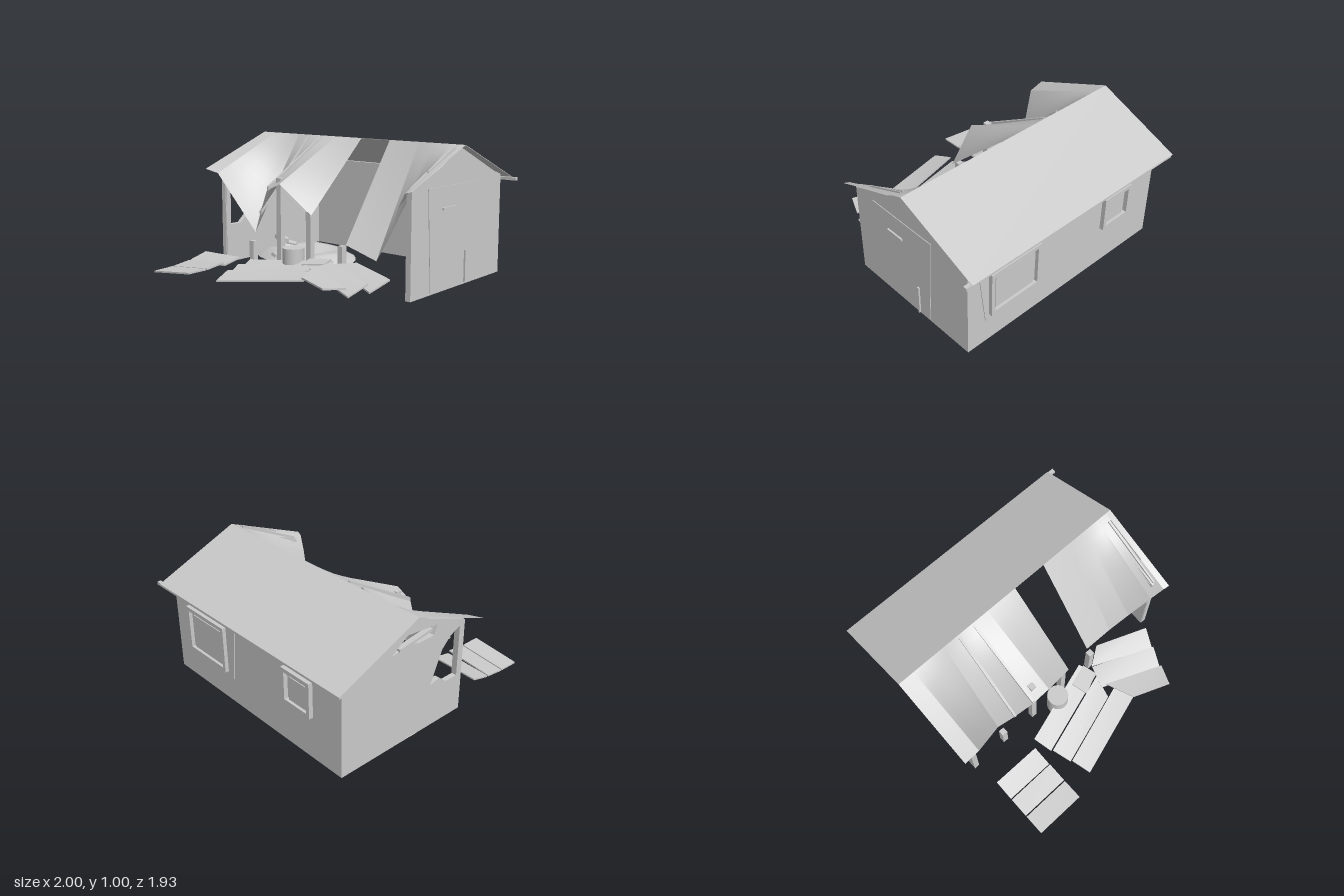
import * as THREE from 'three';

const grey = new THREE.MeshStandardMaterial({ color: 0xcacaca, side: THREE.DoubleSide });
grey.name = 'weathered grey';

export function createModel() {
  const house = new THREE.Group();
  house.name = 'ruinedHouse';

  function add(name, geometry, x = 0, y = 0, z = 0) {
    const mesh = new THREE.Mesh(geometry, grey);
    mesh.name = name;
    mesh.position.set(x, y, z);
    house.add(mesh);
    return mesh;
  }
  // Box given by its limits
  function box(name, x0, x1, y0, y1, z0, z1) {
    return add(name, new THREE.BoxGeometry(x1 - x0, y1 - y0, z1 - z0), (x0 + x1) / 2, (y0 + y1) / 2, (z0 + z1) / 2);
  }
  // Board through four corners: back left, back right, front right, front left
  function slab(name, corners, thick) {
    const [a, b, c, d] = corners.map((p) => new THREE.Vector3(...p));
    const g = new THREE.BoxGeometry(1, 1, 1);
    const pos = g.attributes.position;
    for (let i = 0; i < pos.count; i++) {
      const u = pos.getX(i) + 0.5, v = pos.getZ(i) + 0.5, h = pos.getY(i) * thick;
      const p = a.clone().lerp(b, u).lerp(d.clone().lerp(c, u), v);
      pos.setXYZ(i, p.x, p.y + h, p.z);
    }
    g.computeVertexNormals();
    return add(name, g);
  }
  const polygon = (Type, pts) => new Type(pts.map((p) => new THREE.Vector2(...p)));

  // Gable walls, profile in (z, y)
  const gable = [[0.26, 0], [0.26, 0.73], [0.19, 0.76], [-0.1, 0.87], [-0.3, 0.99], [-0.78, 0.775], [-0.86, 0.75], [-0.86, 0]];
  function sideWall(name, x, holes) {
    const shape = polygon(THREE.Shape, gable);
    holes.forEach((h) => shape.holes.push(polygon(THREE.Path, h)));
    const g = new THREE.ExtrudeGeometry(shape, { depth: 0.04, bevelEnabled: false });
    add(name, g.rotateY(-Math.PI / 2), x, 0, 0);
  }
  sideWall('rightGableWall', -0.87, [
    [[-0.06, 0.34], [0.03, 0.36], [0.1, 0.3], [0.215, 0.3], [0.215, 0.7], [0.12, 0.66], [0.04, 0.58]],
    [[-0.45, 0.73], [-0.28, 0.76], [-0.2, 0.73], [-0.05, 0.73], [-0.02, 0.8], [-0.2, 0.82], [-0.3, 0.83]],
  ]);
  sideWall('leftGableWall', 0.91, []);
  slab('brokenWallBoard', [[-0.92, 0.75, -0.38], [-0.88, 0.75, -0.38], [-0.88, 0.79, -0.08], [-0.92, 0.79, -0.08]], 0.02);
  box('backWall', -0.91, 0.91, 0, 0.745, -0.872, -0.84);

  // Door panel, handle and strap
  const door = new THREE.ExtrudeGeometry(
    polygon(THREE.Shape, [[0.075, 0.73], [-0.535, 0.73], [-0.49, 0.015], [0.035, 0.015]]), { depth: 0.008, bevelEnabled: false });
  add('doorPanel', door.rotateY(-Math.PI / 2), 0.915, 0, 0);
  box('doorRail', 0.91, 0.928, 0.57, 0.587, -0.24, -0.09);
  box('doorBatten', 0.91, 0.928, 0.015, 0.25, -0.395, -0.38);

  // Back windows: frame, shutter and wall panel
  function windowFrame(x0, x1, y0, y1) {
    const w = 0.03;
    box('windowFrameSide', x0, x0 + w, y0, y1, -0.905, -0.87);
    box('windowFrameSide', x1 - w, x1, y0, y1, -0.905, -0.87);
    box('windowFrameTop', x0 + w, x1 - w, y1 - w, y1, -0.905, -0.87);
    box('windowFrameBottom', x0 + w, x1 - w, y0, y0 + w, -0.905, -0.87);
    box('windowShutter', x0 + w + 0.025, x1 - w - 0.025, y0 + w, y1 - w - 0.03, -0.884, -0.87);
  }
  windowFrame(0.28, 0.73, 0.24, 0.6);
  windowFrame(-0.64, -0.36, 0.33, 0.6);
  const panel = new THREE.ExtrudeGeometry(
    polygon(THREE.Shape, [[0.83, 0.74], [0.16, 0.74], [0.22, 0.2], [0.76, 0.2]]), { depth: 0.008, bevelEnabled: false });
  add('windowWallPanel', panel, 0, 0, -0.877);

  // Intact back roof and its eave beam
  slab('backRoof', [[-1, 0.715, -0.97], [0.955, 0.715, -0.97], [0.955, 0.998, -0.305], [-1, 0.998, -0.305]], 0.004);
  box('eaveBeam', -0.99, 1, 0.695, 0.718, -0.965, -0.935);

  // Collapsed front roof: ruled pleats from the ridge down to a broken edge (x, y, z)
  function pleats(name, edge) {
    for (let i = 0; i + 1 < edge.length; i++) {
      const [p, q] = [edge[i], edge[i + 1]].map((e) => new THREE.Vector3(...e));
      const g = new THREE.PlaneGeometry(1, 1, 6, 8);
      const pos = g.attributes.position;
      for (let k = 0; k < pos.count; k++) {
        const low = p.clone().lerp(q, pos.getX(k) + 0.5);
        const v = new THREE.Vector3(low.x, 1, -0.305).lerp(low, 0.5 - pos.getY(k));
        pos.setXYZ(k, v.x, v.y, v.z);
      }
      g.computeVertexNormals();
      add(name, g);
    }
  }
  pleats('frontRoofRight', [[-1, 0.745, 0.345], [-0.87, 0.72, 0.335], [-0.605, 0.27, 0.195], [-0.48, 0.45, 0.26],
    [-0.355, 0.63, 0.315], [-0.215, 0.69, 0.325], [0.04, 0.48, 0.265]]);
  pleats('frontRoofLeft', [[0.305, 0.29, 0.195], [0.565, 0.21, 0.18], [0.7, 0.38, 0.23], [0.83, 0.62, 0.3],
    [0.91, 0.73, 0.335], [0.955, 0.74, 0.345]]);

  // Exposed rafters
  const rafter = (x, y0, z0, y1, z1, w) =>
    slab('rafter', [[x - w, y0, z0], [x + w, y0, z0], [x + w, y1, z1], [x - w, y1, z1]], 0.03);
  rafter(-0.48, 0.985, -0.29, 0.445, 0.26, 0.01);
  rafter(-0.35, 0.985, -0.29, 0.645, 0.31, 0.01);
  rafter(0.89, 0.975, -0.25, 0.735, 0.25, 0.006);
  rafter(0.91, 0.975, -0.25, 0.835, 0.08, 0.004);

  // Porch posts
  for (const [x, h] of [[-0.59, 0.21], [-0.295, 0.72], [0, 0.5], [0.3, 0.29], [0.888, 0.73], [-0.888, 0.73]]) {
    box('porchPost', x - 0.022, x + 0.022, 0, h, 0.21, 0.255);
  }

  // Barrel
  add('barrel', new THREE.CylinderGeometry(0.08, 0.08, 0.235, 24), -0.1, 0.1175, 0.305);

  // Fallen planks
  const planks = [
    [[-0.87, 0.12, 0.475], [-0.485, 0.13, 0.475], [-0.485, 0.1, 0.63], [-0.87, 0.08, 0.63]],
    [[-0.87, 0.08, 0.64], [-0.485, 0.12, 0.64], [-0.485, 0.1, 0.795], [-0.87, 0.06, 0.795]],
    [[-0.87, 0.06, 0.805], [-0.485, 0.1, 0.805], [-0.485, 0.1, 0.965], [-0.87, 0.055, 0.965]],
    [[-0.44, 0.11, 0.415], [0.205, 0.16, 0.22], [0.26, 0.13, 0.36], [-0.4, 0.06, 0.56]],
    [[-0.395, 0.11, 0.575], [0.24, 0.16, 0.38], [0.2, 0.13, 0.555], [-0.345, 0.06, 0.72]],
    [[-0.34, 0.1, 0.73], [0.3, 0.15, 0.53], [0.345, 0.13, 0.685], [-0.295, 0.06, 0.88]],
    [[0.41, 0.175, 0.2], [0.81, 0.15, 0.35], [0.75, 0.08, 0.49], [0.27, 0.16, 0.295]],
    [[0.265, 0.175, 0.305], [0.745, 0.14, 0.5], [0.69, 0.07, 0.635], [0.21, 0.15, 0.47]],
    [[0.25, 0.165, 0.475], [0.685, 0.13, 0.65], [0.62, 0.145, 0.8], [0.34, 0.15, 0.69]],
    [[0.055, 0.17, 0.3], [0.22, 0.18, 0.25], [0.25, 0.17, 0.36], [0.09, 0.155, 0.43]],
  ];
  planks.forEach((p) => slab('fallenPlank', p, 0.012));

  // Low rubble mound with a hollow centre
  const rings = [[0, 0.03], [0.3, 0.03], [0.55, 0.07], [0.75, 0.065], [1, 0.004]];
  const sides = 24, mound = [], index = [];
  rings.forEach(([r, y], k) => {
    for (let i = 0; i < sides; i++) {
      const a = (i / sides) * Math.PI * 2, wob = 1 + 0.05 * Math.sin(a * 5 + 1) + 0.02 * Math.sin(a * 8);
      const lump = r ? 1 + 0.2 * Math.sin(a * 3 + 1) : 1;
      mound.push(Math.cos(a) * r * 0.43 * wob, y * lump, Math.sin(a) * r * 0.35 * wob);
      if (k) {
        const j = (i + 1) % sides, p = (k - 1) * sides, q = k * sides;
        if (k > 1) index.push(p + i, p + j, q + i);
        index.push(p + j, q + j, q + i);
      }
    }
  });
  const moundGeo = new THREE.BufferGeometry();
  moundGeo.setAttribute('position', new THREE.Float32BufferAttribute(mound, 3));
  moundGeo.setIndex(index);
  moundGeo.computeVertexNormals();
  add('rubbleMound', moundGeo, -0.5, 0, -0.29);

  // Loose debris on the mound
  for (const [x, y, z, s, r] of [[-0.56, 0.19, -0.05, 0.1, 0.5], [-0.46, 0.12, -0.02, 0.12, -0.5], [-0.6, 0.12, -0.2, 0.08, 0.3], [-0.47, 0.08, 0.08, 0.1, 0.6]]) {
    const d = add('debris', new THREE.BoxGeometry(s, 0.025, s * 0.7), x, y, z);
    d.rotation.set(r * 0.5, r * 2, -r);
  }
  return house;
}
